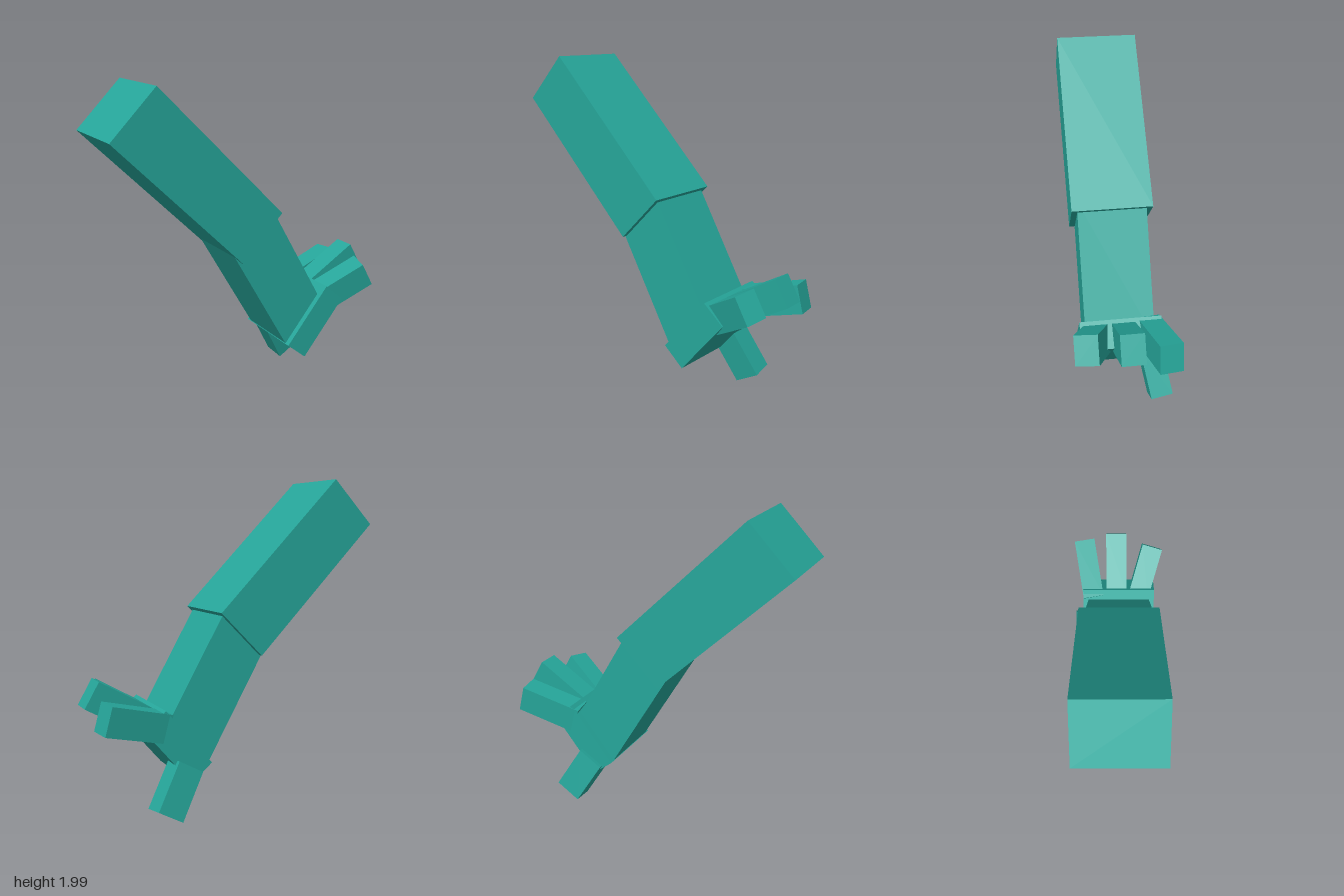
import * as THREE from 'three';

const rad = THREE.MathUtils.degToRad;

export function createModel() {
  const model = new THREE.Group();
  model.name = 'arm';
  const teal = new THREE.MeshStandardMaterial({ color: 0x26a69a });
  teal.name = 'teal';

  // A block whose end face is centred on tip; it runs back along its own -x.
  // pitch turns it in the xy plane, splay swings its tip towards +z.
  function block(name, tip, [length, height, width], pitch, splay = 0) {
    const geometry = new THREE.BoxGeometry(length, height, width);
    geometry.translate(-length / 2, 0, 0);
    const mesh = new THREE.Mesh(geometry, teal);
    mesh.name = name;
    mesh.position.set(...tip);
    mesh.rotation.set(0, rad(-splay), rad(pitch), 'ZYX');
    model.add(mesh);
  }

  // Arm segments
  block('upperArm', [0, 1.08, 0.012], [1.11, 0.382, 0.485], -45);
  block('forearm', [0.355, 0.422, 0.012], [0.86, 0.353, 0.415], -60);

  // Palm
  block('palm', [0.555, 0.62, 0.012], [0.45, 0.17, 0.485], 50);

  // Fingers and thumb
  const finger = (length) => [length, 0.172, 0.137];
  block('frontFinger', [0.795, 0.725, 0.243], finger(0.35), 30, 16);
  block('middleFinger', [0.8725, 0.77, -0.003], finger(0.4), 30);
  block('backFinger', [0.857, 0.667, -0.222], finger(0.4), 15, -9);
  block('thumb', [0.504, 0.058, -0.241], finger(0.31), -60, -9.6);

  return model;
}
